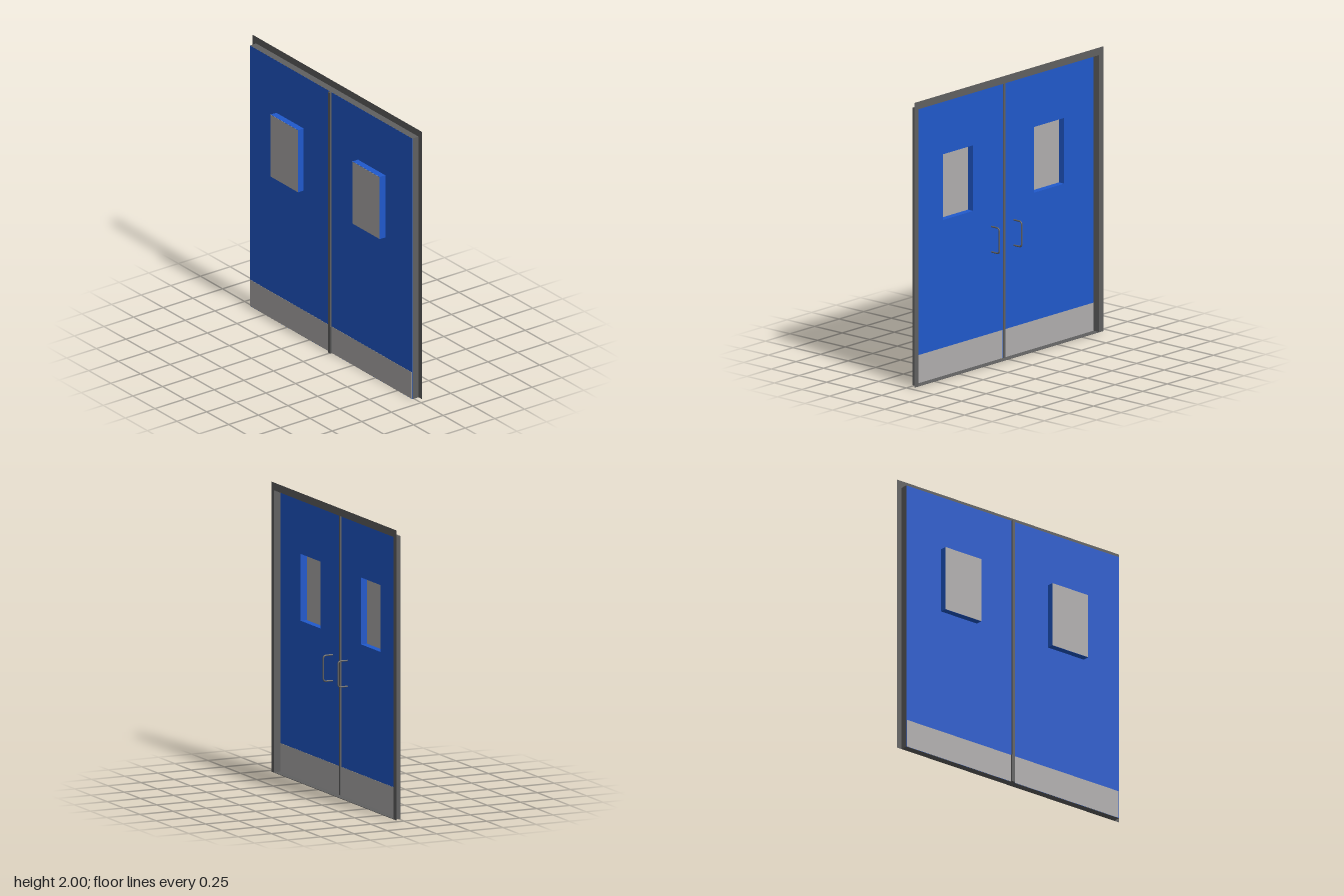
import * as THREE from 'three';

const mat = (name, color) => {
  const m = new THREE.MeshStandardMaterial({ color, side: THREE.DoubleSide });
  m.name = name;
  return m;
};

// Axis-aligned box given by its limits
function block(name, material, x0, x1, y0, y1, z0, z1) {
  const mesh = new THREE.Mesh(new THREE.BoxGeometry(x1 - x0, y1 - y0, z1 - z0), material);
  mesh.position.set((x0 + x1) / 2, (y0 + y1) / 2, (z0 + z1) / 2);
  mesh.name = name;
  return mesh;
}

const rect = (path, x0, x1, y0, y1) =>
  path.moveTo(x0, y0).lineTo(x1, y0).lineTo(x1, y1).lineTo(x0, y1).closePath();

export function createModel() {
  const blue = mat('door blue', 0x2059cc);
  const steel = mat('light steel', 0xb0aeae);
  const dark = mat('dark frame grey', 0x606060);

  const W = 0.92, H = 1.95, BACK = -0.038, FRONT = 0.015, SKIN = 0.003;
  const model = new THREE.Group();
  model.name = 'doubleDoor';

  // Sheet flange around the sides and top of the opening
  const outline = new THREE.Shape();
  [[-0.96, 0], [-W, 0], [-W, H], [W, H], [W, 0], [0.96, 0], [0.96, 2], [-0.96, 2]]
    .forEach(([x, y], i) => (i ? outline.lineTo(x, y) : outline.moveTo(x, y)));
  outline.closePath();
  const flange = new THREE.Mesh(new THREE.ShapeGeometry(outline), dark);
  flange.position.z = BACK;
  flange.name = 'frameFlange';
  model.add(flange);

  // Thin lining of the opening, with a sill
  const lining = new THREE.Group();
  lining.name = 'frameLining';
  lining.add(
    block('leftJamb', dark, W - SKIN, W, 0, H, BACK, FRONT - 0.001),
    block('rightJamb', dark, -W, -W + SKIN, 0, H, BACK, FRONT - 0.001),
    block('header', dark, -W, W, H - SKIN, H, BACK, FRONT - 0.001),
    block('sill', dark, -W, W, 0, SKIN, BACK, FRONT - 0.001)
  );
  model.add(lining);

  // Post where the leaves meet
  model.add(block('centrePost', dark, -0.013, 0.006, 0, H, 0.004, 0.03));
  model.add(block('postFoot', dark, -0.018, 0.01, 0, 0.2, FRONT - 0.002, 0.028));

  for (const s of [1, -1]) {
    const leaf = new THREE.Group();
    leaf.name = s > 0 ? 'leftLeaf' : 'rightLeaf';
    const span = (a, b) => (s > 0 ? [a, b] : [-b, -a]);
    const [x0, x1] = span(0, W - 0.001);
    const [w0, w1] = s > 0 ? [0.305, 0.615] : [-0.62, -0.31];
    const wy0 = 1.095, wy1 = 1.56, wz = 0.062;

    // Door skin with a window opening
    const shape = new THREE.Shape();
    rect(shape, x0, x1, 0.001, H - 0.001);
    const hole = new THREE.Path();
    rect(hole, w0, w1, wy0, wy1);
    shape.holes.push(hole);
    const panel = new THREE.Mesh(
      new THREE.ExtrudeGeometry(shape, { depth: SKIN, bevelEnabled: false }), blue);
    panel.position.z = FRONT - SKIN;
    panel.name = 'doorPanel';
    leaf.add(panel);

    // Window surround standing out to the front, open behind
    const t = 0.002, z0 = FRONT - SKIN;
    leaf.add(
      block('windowSide', blue, w0, w0 + t, wy0, wy1, z0, wz),
      block('windowSide', blue, w1 - t, w1, wy0, wy1, z0, wz),
      block('windowTop', blue, w0, w1, wy1 - t, wy1, z0, wz),
      block('windowBottom', blue, w0, w1, wy0, wy0 + t, z0, wz),
      block('windowPane', steel, w0 + 0.001, w1 - 0.001, wy0 + 0.001, wy1 - 0.001, wz - t, wz + 0.001)
    );

    // Kick plates on both faces
    const [k0, k1] = span(0.009, 0.915);
    leaf.add(
      block('frontKickPlate', steel, k0, k1, 0.002, 0.2, FRONT, FRONT + 0.001),
      block('backKickPlate', steel, k0, k1, 0.002, 0.2, z0 - 0.001, z0)
    );

    // Bent pull handle at the back
    const hx = s > 0 ? 0.12 : -0.107, lo = 0.771, hi = 0.949, out = -0.058, r = 0.022;
    const v = (y, z) => new THREE.Vector3(hx, y, z);
    const path = new THREE.CurvePath();
    path.add(new THREE.LineCurve3(v(hi, z0), v(hi, out + r)));
    path.add(new THREE.QuadraticBezierCurve3(v(hi, out + r), v(hi, out), v(hi - r, out)));
    path.add(new THREE.LineCurve3(v(hi - r, out), v(lo + r, out)));
    path.add(new THREE.QuadraticBezierCurve3(v(lo + r, out), v(lo, out), v(lo, out + r)));
    path.add(new THREE.LineCurve3(v(lo, out + r), v(lo, z0)));
    const handle = new THREE.Mesh(new THREE.TubeGeometry(path, 60, 0.0055, 12), dark);
    handle.name = 'pullHandle';
    leaf.add(handle);
    model.add(leaf);
  }
  return model;
}
